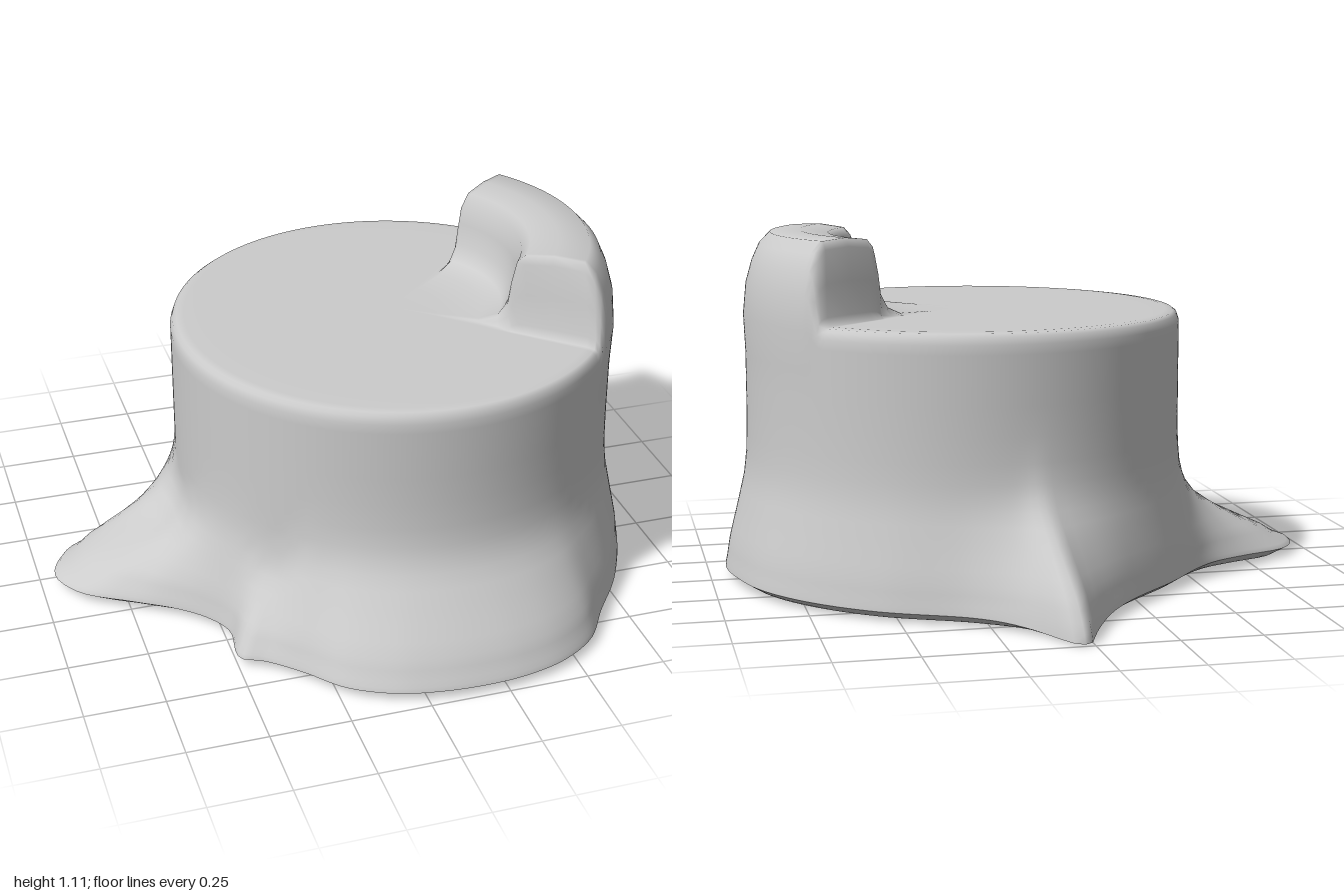
import * as THREE from 'three';

const CX = 0.17, CZ = 0.06, TRUNK = 0.7, SEGS = 240;

// Ground outline of the roots, as x, z pairs
const OUTLINE = [
  [0.95, 0.06], [0.92, 0.22], [0.87, 0.38], [0.77, 0.58], [0.66, 0.73], [0.57, 0.86],
  [0.45, 0.94], [0.31, 0.98], [0.17, 0.99], [0.03, 0.98], [-0.1, 0.95], [-0.23, 0.88],
  [-0.33, 0.77], [-0.43, 0.68], [-0.49, 0.65], [-0.5, 0.62], [-0.49, 0.5], [-0.53, 0.42],
  [-0.61, 0.34], [-0.75, 0.25], [-0.89, 0.16], [-0.95, 0.06], [-0.95, 0.0], [-0.89, -0.1],
  [-0.73, -0.17], [-0.61, -0.23], [-0.52, -0.31], [-0.4, -0.45], [-0.22, -0.63],
  [-0.1, -0.78], [-0.03, -0.9], [0.015, -0.995], [0.045, -0.995], [0.15, -0.85],
  [0.3, -0.74], [0.56, -0.61], [0.75, -0.45], [0.87, -0.28], [0.93, -0.1],
];

// Flare of the roots: share of the spread left at a relative height
const FLARE = [[0, 1], [0.12, 0.97], [0.35, 0.8], [0.6, 0.5], [0.9, 0.16], [1.1, 0.05], [1.4, 0]];

// Radius and height from rim to centre: the flat cut, and the splinter standing at one side
const CUT = [
  [0.7, 0.72], [0.7, 0.785], [0.7, 0.815], [0.692, 0.838], [0.68, 0.847], [0.655, 0.85], [0.55, 0.85],
  [0.46, 0.85], [0.43, 0.85], [0.41, 0.85], [0.4, 0.85], [0.36, 0.85], [0.3, 0.85], [0.15, 0.85], [0, 0.85],
];
const SPLINTER = [
  [0.7, 0.72], [0.705, 0.84], [0.695, 0.94], [0.675, 1.01], [0.65, 1.065], [0.615, 1.1], [0.52, 1.105],
  [0.43, 1.095], [0.405, 1.07], [0.39, 1.0], [0.38, 0.93], [0.35, 0.88], [0.29, 0.855], [0.15, 0.85], [0, 0.85],
];

function lerpTable(table, t) {
  for (let i = 1; i < table.length; i++) {
    const [t0, v0] = table[i - 1], [t1, v1] = table[i];
    if (t <= t1) return v0 + (v1 - v0) * Math.max(0, (t - t0) / (t1 - t0));
  }
  return table[table.length - 1][1];
}

// Outline as a table of radius by angle
function outlineTable() {
  const pts = OUTLINE.map(([x, z]) => new THREE.Vector3(x - CX, 0, z - CZ));
  const curve = new THREE.CatmullRomCurve3(pts, true, 'centripetal');
  const polar = curve.getPoints(800).slice(0, -1).map((p) => {
    const a = Math.atan2(p.z, p.x);
    return [a < 0 ? a + Math.PI * 2 : a, Math.hypot(p.x, p.z)];
  });
  return polar.sort((a, b) => a[0] - b[0]);
}

// Skin closed rings, listed from the bottom up; at(ring, angle) gives [radius, height]
function loft(ringCount, at) {
  const pos = [], index = [];
  for (let i = 0; i < ringCount; i++) {
    for (let j = 0; j < SEGS; j++) {
      const a = (j / SEGS) * Math.PI * 2;
      const [r, y] = at(i, a);
      pos.push(CX + r * Math.cos(a), y, CZ + r * Math.sin(a));
    }
  }
  for (let i = 0; i < ringCount - 1; i++) {
    for (let j = 0; j < SEGS; j++) {
      const k = (j + 1) % SEGS;
      const a = i * SEGS + j, b = i * SEGS + k, c = a + SEGS, d = b + SEGS;
      index.push(a, c, b, b, c, d);
    }
  }
  const geo = new THREE.BufferGeometry();
  geo.setAttribute('position', new THREE.Float32BufferAttribute(pos, 3));
  geo.setIndex(index);
  geo.computeVertexNormals();
  return geo;
}

export function createModel() {
  const group = new THREE.Group();
  group.name = 'treeStump';
  const material = new THREE.MeshStandardMaterial({ color: 0xcccccc, roughness: 0.9 });

  const table = outlineTable();
  const spread = (a) => lerpTable(table, a);
  const bump = (a, centre, width) => Math.exp(-(((a - centre) / width) ** 2));

  // The long side root and the small front root lie lower than the rest
  const rootHeight = (a) => 0.36 - 0.13 * bump(a, Math.PI, 0.3) - 0.1 * bump(a, 2.42, 0.14);
  const hem = (a) => 0.03 - 0.025 * bump(a, 4.58, 0.15);

  const levels = [0, 0.03, 0.06, 0.09, 0.12, 0.16, 0.2, 0.24, 0.28, 0.32, 0.36, 0.4, 0.46, 0.54, 0.63];
  const trunkAndTop = loft(levels.length + CUT.length, (i, a) => {
    if (i < levels.length) {
      const y = levels[i];
      const r = TRUNK + (spread(a) - TRUNK) * lerpTable(FLARE, y / rootHeight(a));
      return [r, Math.max(y, hem(a) + y * 0.5)];
    }
    // Blend from the flat cut to the splinter within its sector
    const off = Math.min(a, Math.PI * 2 - a) * THREE.MathUtils.RAD2DEG;
    const w = 1 - THREE.MathUtils.smoothstep(off, 36.5, 41.5);
    const k = i - levels.length;
    return [0, 1].map((n) => THREE.MathUtils.lerp(CUT[k][n], SPLINTER[k][n], w));
  });
  const stump = new THREE.Mesh(trunkAndTop, material);
  stump.name = 'trunkWithRoots';
  group.add(stump);

  // Closed base, slightly tucked in below the hem
  const base = new THREE.Mesh(loft(4, (i, a) => {
    const r = spread(a);
    return [[0, 0], [r * 0.6, 0], [r * 0.95, 0.005], [r, hem(a)]][i];
  }), material);
  base.name = 'underside';
  group.add(base);

  return group;
}
